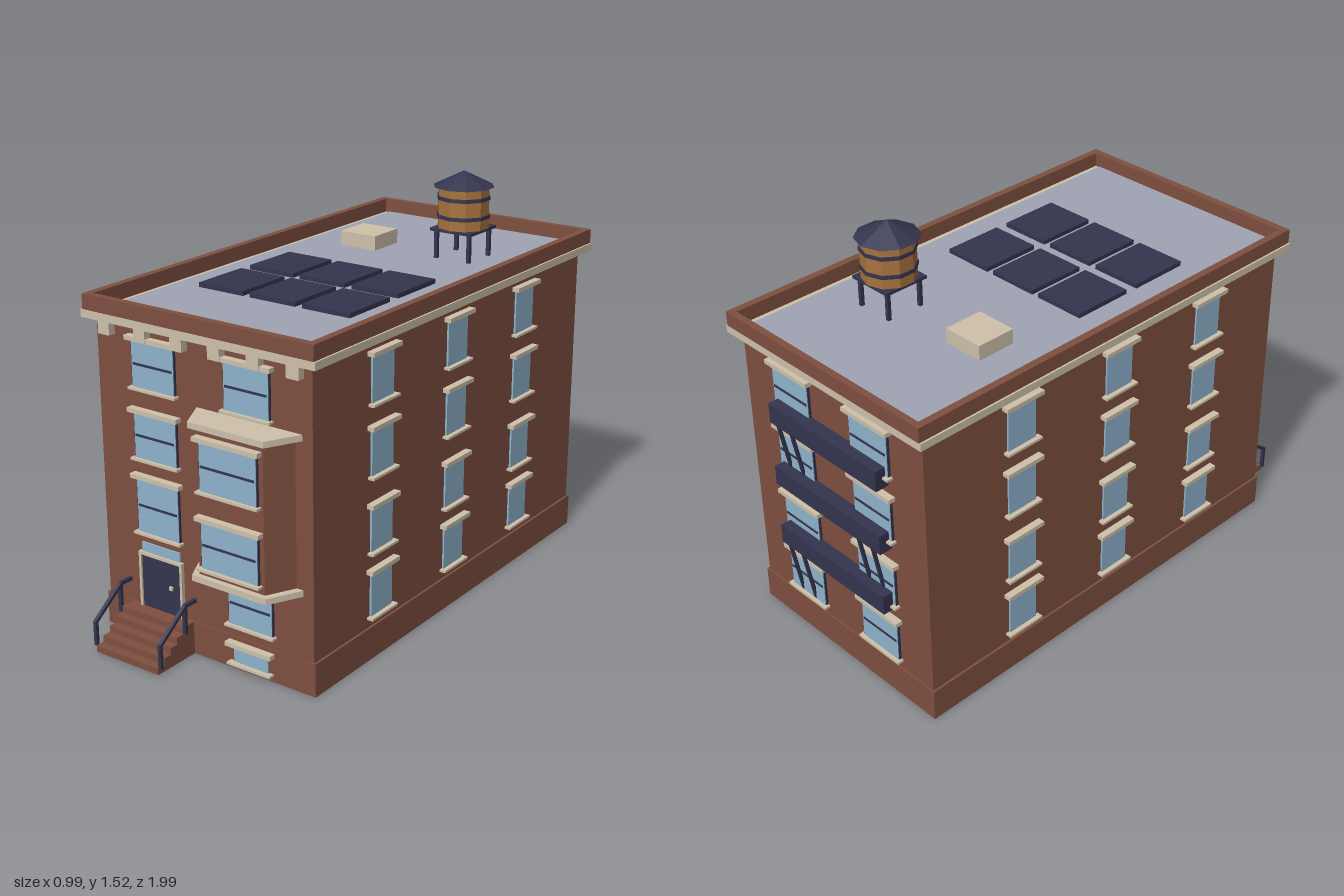
import * as THREE from 'three';

const mat = (name, color) => {
  const m = new THREE.MeshStandardMaterial({ color });
  m.name = name;
  return m;
};

export function createModel() {
  const root = new THREE.Group();
  root.name = 'apartmentBuilding';
  const brick = mat('brick', 0x7f5040);
  const stone = mat('stone', 0xcfc2ab);
  const glass = mat('glass', 0x8fb4cd);
  const iron = mat('darkIron', 0x34344f);
  const roofGrey = mat('roofGrey', 0xa0a3b3);
  const wood = mat('wood', 0xa8733d);
  wood.flatShading = true;
  iron.flatShading = true;

  const add = (name, geo, m, parent = root) => {
    const mesh = new THREE.Mesh(geo, m);
    mesh.name = name;
    parent.add(mesh);
    return mesh;
  };
  // Box given by its minimum and maximum on each axis
  const box = (name, m, x0, x1, y0, y1, z0, z1, parent = root) => {
    const b = add(name, new THREE.BoxGeometry(x1 - x0, y1 - y0, z1 - z0), m, parent);
    b.position.set((x0 + x1) / 2, (y0 + y1) / 2, (z0 + z1) / 2);
    return b;
  };
  // Square bar between two points
  const bar = (name, a, b, t, parent = root) => {
    const p = new THREE.Vector3(...a), q = new THREE.Vector3(...b);
    const mesh = add(name, new THREE.BoxGeometry(t, t, p.distanceTo(q)), iron, parent);
    mesh.position.copy(p).add(q).multiplyScalar(0.5);
    mesh.lookAt(q);
    return mesh;
  };

  // Main block
  const W = 0.457, ZF = 0.803, ZB = -0.936;
  box('base', brick, -0.466, 0.466, 0, 0.123, -0.942, 0.808);
  box('walls', brick, -W, W, 0.123, 1.165, ZB, ZF);
  box('cornice', stone, -0.495, 0.495, 1.16, 1.188, -0.975, 0.84);
  box('roof', roofGrey, -0.44, 0.44, 1.17, 1.191, -0.96, 0.82);
  for (const s of [-1, 1]) {
    const x = s * 0.474;
    box('sideParapet', brick, x - 0.014, x + 0.014, 1.188, 1.243, -0.975, 0.838);
  }
  box('frontParapet', brick, -0.46, 0.46, 1.188, 1.243, 0.81, 0.838);
  box('backParapet', brick, -0.46, 0.46, 1.188, 1.243, -0.975, -0.95);
  for (let i = 0; i < 6; i++) {
    const x = -0.4 + 0.16 * i;
    box('corniceBracket', stone, x - 0.025, x + 0.025, 1.112, 1.162, ZF - 0.01, 0.832);
  }

  // Window on a wall: local +z points out of the wall
  const makeWindow = (x, z, turn, w, y0, y1, framed, trim = 0.025) => {
    const g = new THREE.Group();
    g.name = 'window';
    g.position.set(x, 0, z);
    g.rotation.y = turn;
    const h = w / 2;
    if (framed) {
      const mid = (y0 + y1) / 2;
      box('windowFrame', iron, -h - 0.003, h + 0.003, y0, y1, -0.005, 0.009, g);
      box('glassPane', glass, -h, h, y0, y1, 0.009, 0.011, g);
      box('sashRail', iron, -h + 0.006, h - 0.006, mid - 0.004, mid + 0.004, 0.009, 0.014, g);
    } else {
      box('glassPane', glass, -h, h, y0, y1, -0.002, 0.007, g);
    }
    box('lintel', stone, -h - trim / 2 - 0.005, h + trim / 2 + 0.005, y1, y1 + 0.016, -0.005, 0.027, g);
    box('sill', stone, -h - trim / 2, h + trim / 2, y0 - 0.009, y0, -0.005, 0.024, g);
    root.add(g);
  };

  const rows = [[0.164, 0.328], [0.407, 0.572], [0.685, 0.852], [0.944, 1.111]];
  for (const [y0, y1] of rows) {
    for (const z of [0.42, -0.045, -0.513]) {
      makeWindow(W, z, Math.PI / 2, 0.126, y0, y1, false, 0.03);
      makeWindow(-W, z, -Math.PI / 2, 0.126, y0, y1, false, 0.03);
    }
    for (const x of [-0.2, 0.2]) makeWindow(x, ZB, Math.PI, 0.184, y0, y1, true);
  }
  // Front windows
  makeWindow(-0.202, ZF, 0, 0.184, 0.944, 1.111, true);
  makeWindow(-0.202, ZF, 0, 0.184, 0.687, 0.853, true);
  makeWindow(-0.202, ZF, 0, 0.184, 0.41, 0.611, true);
  makeWindow(0.197, ZF, 0, 0.184, 0.944, 1.111, true);
  makeWindow(0.197, ZF, 0, 0.184, 0.172, 0.333, true);
  makeWindow(0.197, 0.808, 0, 0.146, 0.03, 0.092, false, 0.04);

  // Bay: trapezoid plan pulled upwards
  const bayPart = (name, m, xa, xb, xc, xd, zFront, y0, y1) => {
    const s = new THREE.Shape([[xa, -0.79], [xb, -zFront], [xc, -zFront], [xd, -0.79]]
      .map(p => new THREE.Vector2(...p)));
    const geo = new THREE.ExtrudeGeometry(s, { depth: y1 - y0, bevelEnabled: false });
    geo.rotateX(-Math.PI / 2);
    add(name, geo, m).position.y = y0;
  };
  bayPart('bay', brick, 0, 0.058, 0.336, 0.394, 0.905, 0.37, 0.905);
  bayPart('bayTopCornice', stone, -0.028, 0.042, 0.354, 0.422, 0.925, 0.901, 0.923);
  bayPart('bayBottomCornice', stone, -0.028, 0.042, 0.354, 0.422, 0.925, 0.356, 0.378);
  makeWindow(0.197, 0.905, 0, 0.235, 0.687, 0.862, true);
  makeWindow(0.197, 0.905, 0, 0.235, 0.41, 0.582, true);

  // Entrance
  const zd = ZF - 0.005;
  for (const x of [-0.293, -0.106]) box('doorJamb', stone, x - 0.005, x + 0.005, 0.122, 0.333, zd, ZF + 0.015);
  box('doorHead', stone, -0.298, -0.101, 0.322, 0.333, zd, ZF + 0.015);
  box('door', iron, -0.288, -0.111, 0.122, 0.322, zd, ZF + 0.008);
  box('doorKnob', stone, -0.16, -0.146, 0.218, 0.232, ZF + 0.008, ZF + 0.016);
  box('transom', glass, -0.288, -0.114, 0.333, 0.368, zd, ZF + 0.006);

  // Stoop: five steps with a handrail each side
  for (let i = 0; i < 5; i++) {
    box('step', brick, -0.345, -0.06, i * 0.0244, (i + 1) * 0.0244, 0.79, 1.0 - i * 0.034);
  }
  for (const x of [-0.352, -0.053]) {
    bar('railPost', [x, 0.022, 0.992], [x, 0.112, 0.992], 0.013);
    bar('railPost', [x, 0.1, 0.862], [x, 0.208, 0.862], 0.013);
    bar('handrail', [x, 0.11, 0.995], [x, 0.207, 0.86], 0.013);
    bar('handrail', [x, 0.207, 0.865], [x, 0.207, 0.805], 0.013);
  }

  // Fire escape with ladders on alternating sides
  [[0.385, 0.46, 0.17, 0.2], [0.642, 0.717, 0.44, -0.2], [0.9, 0.978, 0.7, 0.2]].forEach(([y0, y1, yl, x]) => {
    box('firePlatform', iron, -0.28, 0.275, y0, y1, -0.988, ZB + 0.002);
    for (const s of [-0.036, 0.036]) {
      bar('ladderRail', [x + s, yl, -0.944], [x + s, y0 + 0.01, -0.984], 0.011);
    }
  });

  // Solar panels and hatch
  for (const x of [-0.229, -0.002, 0.226]) {
    for (const z of [0.011, 0.299]) {
      box('solarPanel', iron, x - 0.099, x + 0.099, 1.195, 1.212, z - 0.118, z + 0.118);
    }
  }
  box('roofHatch', stone, -0.28, -0.12, 1.185, 1.247, -0.528, -0.374);

  // Water tower
  const tower = new THREE.Group();
  tower.name = 'waterTower';
  tower.position.set(0.197, 0, -0.497);
  root.add(tower);
  const ring = (name, m, rTop, rBottom, y0, y1) => {
    add(name, new THREE.CylinderGeometry(rTop, rBottom, y1 - y0, 10), m, tower).position.y = (y0 + y1) / 2;
  };
  for (const x of [-0.071, 0.071]) {
    for (const z of [-0.071, 0.071]) {
      box('towerLeg', iron, x - 0.007, x + 0.007, 1.185, 1.3, z - 0.007, z + 0.007, tower);
    }
  }
  box('towerPlatform', iron, -0.09, 0.09, 1.297, 1.308, -0.09, 0.09, tower);
  ring('tank', wood, 0.098, 0.098, 1.308, 1.465);
  ring('tankBand', iron, 0.102, 0.102, 1.346, 1.36);
  ring('tankBand', iron, 0.102, 0.102, 1.416, 1.43);
  ring('tankRoof', iron, 0, 0.116, 1.463, 1.521);

  return root;
}
